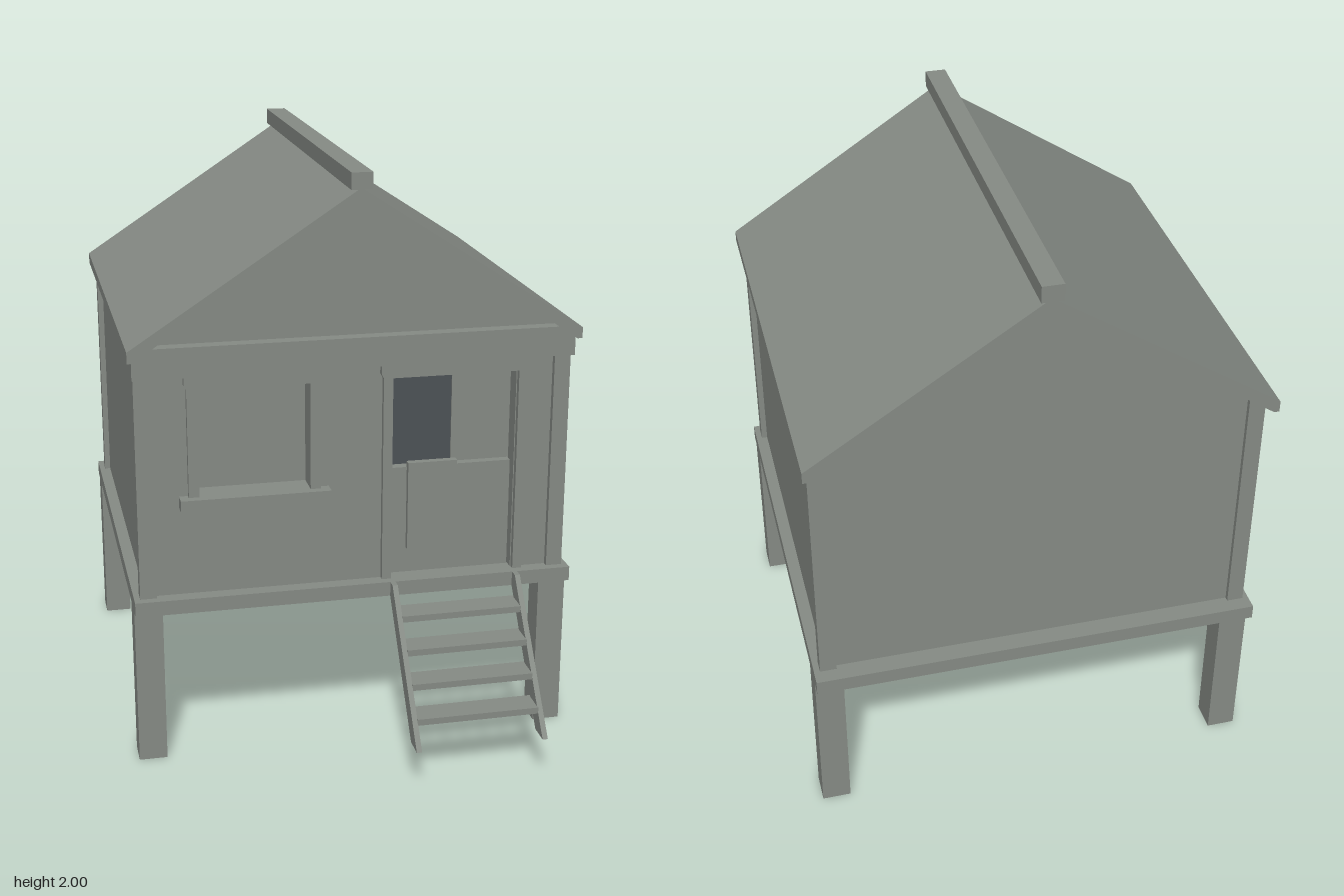
import * as THREE from 'three';

export function createModel() {
  const model = new THREE.Group();
  model.name = 'stiltCabin';
  const wood = new THREE.MeshStandardMaterial({ color: 0x868b85 });
  wood.name = 'greyWood';
  const dark = new THREE.MeshStandardMaterial({ color: 0x4d5256 });
  dark.name = 'darkOpening';

  const add = (name, geometry, material = wood) => {
    const mesh = new THREE.Mesh(geometry, material);
    mesh.name = name;
    model.add(mesh);
    return mesh;
  };
  // Box given by its limits on each axis
  const box = (name, x0, x1, y0, y1, z0, z1, material) =>
    add(name, new THREE.BoxGeometry(x1 - x0, y1 - y0, z1 - z0), material)
      .position.set((x0 + x1) / 2, (y0 + y1) / 2, (z0 + z1) / 2);
  const outline = (points) => new THREE.Shape(points.map(([x, y]) => new THREE.Vector2(x, y)));
  const rect = (x0, x1, y0, y1) =>
    new THREE.Path([[x0, y0], [x0, y1], [x1, y1], [x1, y0]].map(([x, y]) => new THREE.Vector2(x, y)));
  // Outline in x and y, extruded between two z limits
  const slab = (name, shape, z0, z1) =>
    add(name, new THREE.ExtrudeGeometry(shape, { depth: z1 - z0, bevelEnabled: false }).translate(0, 0, z0));

  // Stilts, corner posts and floor
  for (const side of [-1, 1]) {
    const pair = (name, inner, outer, y0, y1, z0, z1) =>
      box(name, Math.min(side * inner, side * outer), Math.max(side * inner, side * outer), y0, y1, z0, z1);
    pair('frontLeg', 0.655, 0.75, 0, 0.56, 0.405, 0.5);
    pair('backLeg', 0.655, 0.75, 0, 0.56, -0.846, -0.75);
    pair('frontCornerPost', 0.675, 0.73, 0.6, 1.43, 0.464, 0.515);
    pair('backCornerPost', 0.675, 0.73, 0.6, 1.44, -0.846, -0.8);
  }
  box('floor', -0.75, 0.75, 0.55, 0.6, -0.895, 0.544);

  // Cabin body, with a front wall layer holding the window and door recesses
  const house = () => outline([[-0.71, 0.6], [0.71, 0.6], [0.71, 1.45], [0, 1.93], [-0.71, 1.45]]);
  slab('cabinBody', house(), -0.83, 0.425);
  const front = outline([
    [-0.71, 0.6], [0.12, 0.6], [0.12, 1.31], [0.55, 1.31], [0.55, 0.6],
    [0.71, 0.6], [0.71, 1.45], [0, 1.93], [-0.71, 1.45],
  ]);
  front.holes.push(rect(-0.525, -0.155, 0.945, 1.31));
  slab('frontWall', front, 0.425, 0.495);
  box('frontBeam', -0.735, 0.735, 1.36, 1.46, 0.49, 0.54);

  // Roof and ridge cap
  slab('roof', outline([
    [-0.75, 1.46], [-0.75, 1.423], [-0.733, 1.423], [0, 1.922],
    [0.733, 1.423], [0.75, 1.423], [0.75, 1.46], [0, 1.95],
  ]), -0.905, 0.563);
  box('ridgeCap', -0.035, 0.035, 1.945, 2, -0.915, 0.573);

  // Frames: two jambs under a lintel with tapered ends
  const frame = (name, x0, x1, y0, width) => {
    box(name + 'Jamb', x0, x0 + width, y0, 1.31, 0.485, 0.515);
    box(name + 'Jamb', x1 - width, x1, y0, 1.31, 0.485, 0.515);
    slab(name + 'Lintel', outline([
      [x0, 1.31], [x1, 1.31], [x1 + 0.008, 1.325], [x1 + 0.008, 1.355], [x0 - 0.008, 1.355], [x0 - 0.008, 1.325],
    ]), 0.485, 0.517);
  };
  frame('window', -0.56, -0.12, 0.945, 0.035);
  box('windowSill', -0.59, -0.09, 0.905, 0.945, 0.43, 0.543);
  frame('door', 0.09, 0.585, 0.6, 0.032);

  // Door: dark opening, upper panel, lower half and raised board
  box('doorOpening', 0.12, 0.345, 0.95, 1.31, 0.424, 0.43, dark);
  box('doorUpperPanel', 0.345, 0.55, 0.95, 1.31, 0.42, 0.435);
  box('doorLowerPanel', 0.125, 0.547, 0.6, 0.98, 0.42, 0.465);
  box('doorBoard', 0.185, 0.355, 0.69, 1, 0.46, 0.485);

  // Ladder: slanted rails and four treads
  const railShape = outline([[-0.92, 0.155], [-0.845, 0.155], [-0.544, 0.55], [-0.544, 0.6], [-0.575, 0.6]]);
  for (const x of [0.113, 0.543]) {
    const rail = new THREE.ExtrudeGeometry(railShape, { depth: 0.018, bevelEnabled: false });
    rail.rotateY(Math.PI / 2).translate(x, 0, 0);
    add('ladderRail', rail);
  }
  for (let i = 0; i < 4; i++) {
    const y = 0.505 - i * 0.091, z = 0.555 + i * 0.0715;
    box('ladderTread', 0.13, 0.545, y - 0.011, y + 0.011, z, z + 0.092);
  }
  return model;
}
